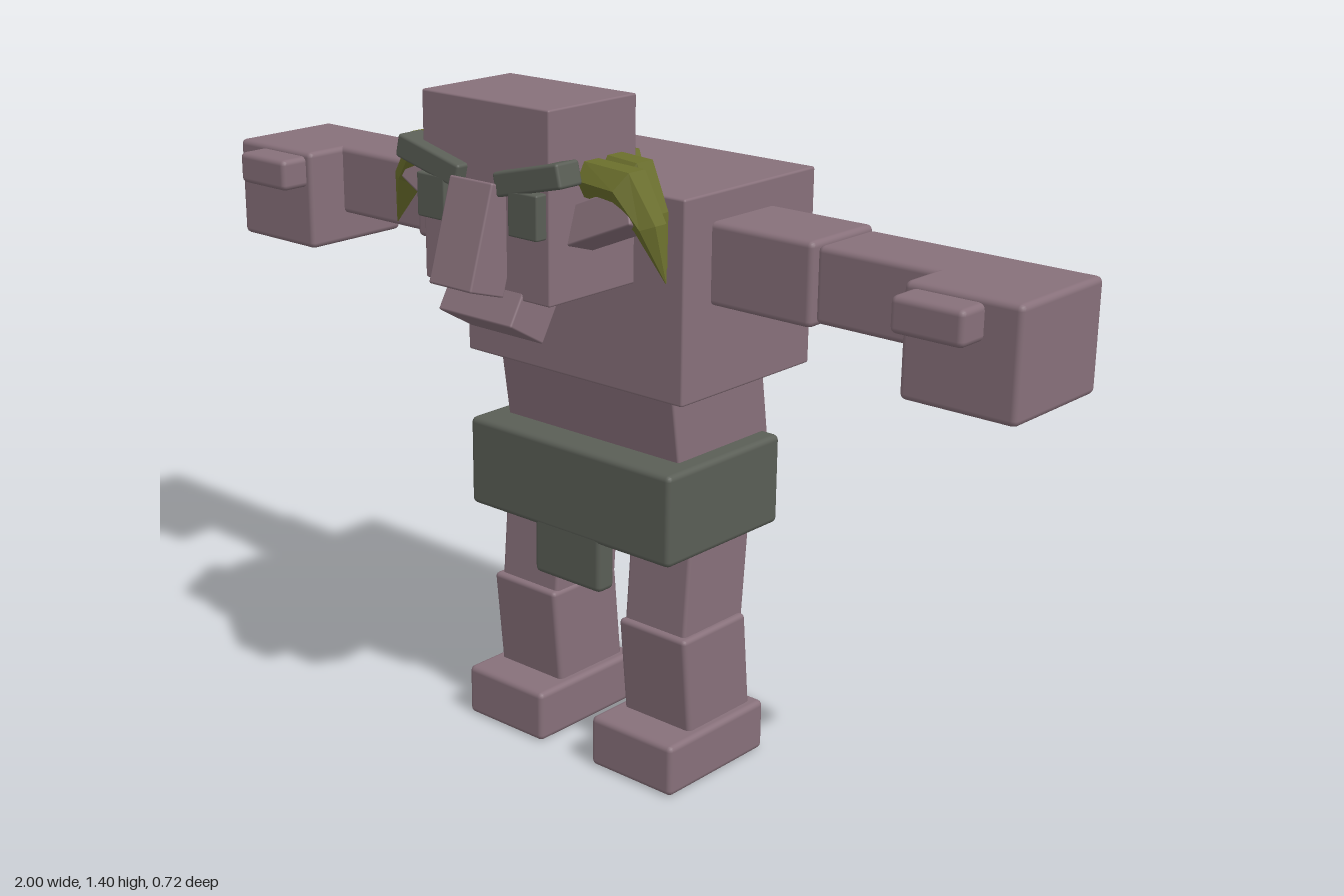
import * as THREE from 'three';
import { RoundedBoxGeometry } from 'three/addons/geometries/RoundedBoxGeometry.js';

export function createModel() {
  const model = new THREE.Group();
  model.name = 'troll';
  const material = (name, color) => {
    const m = new THREE.MeshStandardMaterial({ color });
    m.name = name;
    return m;
  };
  const skin = material('mauve skin', 0x87707a);
  const grey = material('dark grey', 0x5a5e56);
  const green = material('olive hair', 0x6a6e2c);
  green.flatShading = true;

  const add = (name, geometry, mat) => {
    const mesh = new THREE.Mesh(geometry, mat);
    mesh.name = name;
    model.add(mesh);
    return mesh;
  };

  // Softly bevelled block from its extents; lean shifts z in step with y
  function block(name, mat, [x0, x1], [y0, y1], [z0, z1], radius = 0.012, lean = 0) {
    const g = new RoundedBoxGeometry(x1 - x0, y1 - y0, z1 - z0, 2, radius);
    if (lean) g.applyMatrix4(new THREE.Matrix4().set(1, 0, 0, 0, 0, 1, 0, 0, 0, lean, 1, 0, 0, 0, 0, 1));
    const mesh = add(name, g, mat);
    mesh.position.set((x0 + x1) / 2, (y0 + y1) / 2, (z0 + z1) / 2);
    return mesh;
  }

  // Block placed by its centre and turned
  function turned(name, mat, size, position, rotation, radius = 0.004) {
    const mesh = add(name, new RoundedBoxGeometry(...size, 2, radius), mat);
    mesh.position.set(...position);
    mesh.rotation.set(...rotation);
    return mesh;
  }

  // Trunk and clothing
  block('torso', skin, [-0.285, 0.285], [0.82, 1.22], [-0.36, 0.035], 0.005);
  block('waist', skin, [-0.23, 0.23], [0.64, 0.84], [-0.295, -0.015], 0.005, 0.15);
  block('shorts', grey, [-0.27, 0.27], [0.49, 0.68], [-0.295, 0.05]);
  block('loinFlap', grey, [-0.09, 0.09], [0.385, 0.55], [0.002, 0.049]);

  // Head and face
  block('head', skin, [-0.162, 0.162], [1.04, 1.4], [0.03, 0.265], 0.004);
  turned('nose', skin, [0.11, 0.202, 0.09], [0, 1.15, 0.287], [-0.3, 0, 0]);
  turned('chin', skin, [0.19, 0.15, 0.1], [0, 1.036, 0.2175], [-0.53, 0, 0]);

  // Limbs and paired features
  for (const [side, s] of [['left', 1], ['right', -1]]) {
    const span = (a, b) => (s > 0 ? [a, b] : [-b, -a]);
    const part = (name, mat, x, ...rest) => block(side + name, mat, span(...x), ...rest);

    part('UpperArm', skin, [0.275, 0.517], [1.003, 1.165], [-0.235, -0.045]);
    part('Forearm', skin, [0.515, 0.8], [1.01, 1.157], [-0.225, -0.06]);
    part('Hand', skin, [0.765, 1], [0.945, 1.157], [-0.225, 0.033]);
    part('Thumb', skin, [0.78, 0.927], [1.08, 1.147], [0, 0.095]);

    part('Thigh', skin, [0.095, 0.253], [0.29, 0.52], [-0.216, -0.03], 0.008, -0.08);
    part('Shin', skin, [0.09, 0.265], [0.09, 0.315], [-0.215, -0.02], 0.01, 0.1);
    part('Foot', skin, [0.07, 0.285], [0, 0.11], [-0.247, 0.052]);

    part('Eye', grey, [0.082, 0.155], [1.165, 1.25], [0.25, 0.29], 0.004);
    turned(side + 'Brow', grey, [0.165, 0.046, 0.06], [s * 0.128, 1.273, 0.26], [0, 0, s * 0.24], 0.006);
    turned(side + 'Ear', skin, [0.18, 0.072, 0.075], [s * 0.2, 1.19, 0.165], [-0.3, 0, s * 0.42]);
  }

  // Hair tuft: cross-sections [out, up, tangent out, tangent up, radius]
  const sections = [
    [0, -0.04, 1, 0, 0.038],
    [0.09, -0.045, 0.86, -0.5, 0.044],
    [0.142, -0.11, 0.35, -0.94, 0.03],
    [0.18, -0.205, 0.34, -0.94, 0.001],
  ];
  function tuft(name, position, turn, reach) {
    const g = new THREE.CylinderGeometry(1, 1, 1, 6, 3);
    const p = g.attributes.position;
    for (let i = 0; i < p.count; i++) {
      const [cx, cy, tx, ty, r] = sections[Math.round((p.getY(i) + 0.5) * 3)];
      const across = p.getX(i) * r;
      p.setXYZ(i, (cx + ty * across) * reach, cy - tx * across, p.getZ(i) * r);
    }
    g.computeVertexNormals();
    const mesh = add(name, g, green);
    mesh.position.set(...position);
    mesh.rotation.y = turn;
  }
  for (const [side, s] of [['left', 1], ['right', -1]]) {
    const turn = s > 0 ? 0 : Math.PI;
    tuft(side + 'FrontTuft', [s * 0.17, 1.305, 0.162], turn, 1);
    tuft(side + 'RearTuft', [s * 0.15, 1.305, 0.09], turn, 0.78);
  }
  [-0.13, 0, 0.13].forEach((x, i) => tuft('backTuft' + (i + 1), [x, 1.305, 0.07], Math.PI / 2, 0.55));

  return model;
}
